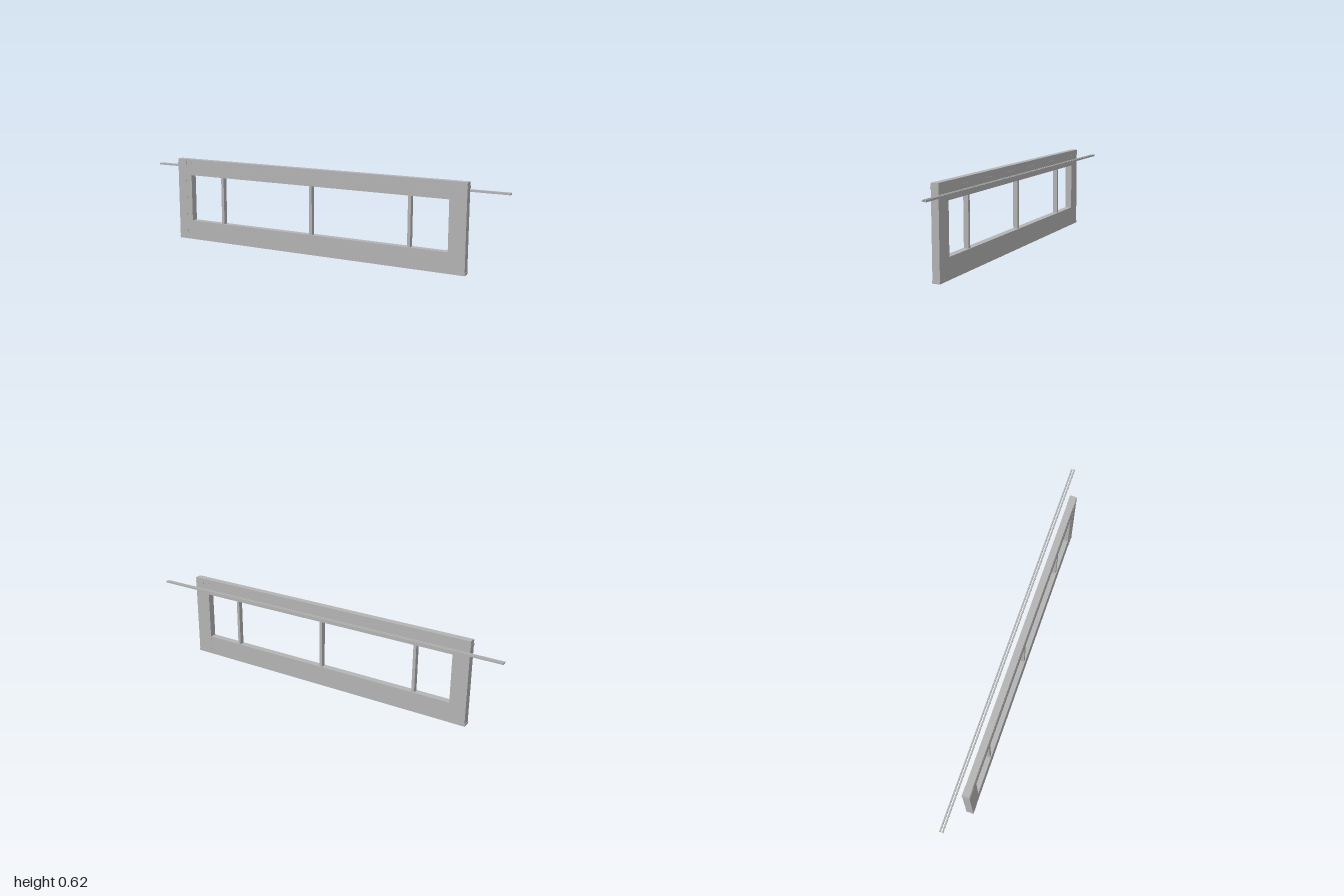
import * as THREE from 'three';

export function createModel() {
  const model = new THREE.Group();
  model.name = 'windowWall';
  const grey = new THREE.MeshStandardMaterial({ color: 0xb4b4b4 });
  grey.name = 'plain grey';

  // Everything is laid out straight along x, then turned to run diagonally.
  const straight = new THREE.Group();
  straight.name = 'diagonalAssembly';
  straight.rotation.y = -Math.PI / 4;
  model.add(straight);

  // Box given by its lower and upper limits on each axis
  function slab(name, [x0, x1], [y0, y1], [z0, z1]) {
    const mesh = new THREE.Mesh(new THREE.BoxGeometry(x1 - x0, y1 - y0, z1 - z0), grey);
    mesh.position.set((x0 + x1) / 2, (y0 + y1) / 2, (z0 + z1) / 2);
    mesh.name = name;
    straight.add(mesh);
  }

  // Lower panel, header and top cap
  slab('lowerPanel', [-1.03, 1.03], [0, 0.145], [0.052, 0.102]);
  slab('header', [-1.03, 1.03], [0.495, 0.575], [0.052, 0.102]);
  slab('topCap', [-1.148, 1.148], [0.575, 0.615], [0.053, 0.101]);

  // End posts: outer and inner studs with slim collars at foot and head
  for (const side of [-1, 1]) {
    const span = (a, b) => (side < 0 ? [-b, -a] : [a, b]);
    slab('outerStud', span(1.075, 1.148), [0, 0.61], [0.051, 0.103]);
    slab('innerStud', span(1.028, 1.075), [0, 0.59], [0.051, 0.102]);
    slab('footCollar', span(1.073, 1.151), [0.005, 0.02], [0.05, 0.105]);
    slab('headCollar', span(1.073, 1.151), [0.573, 0.588], [0.05, 0.105]);
  }

  // Slim mullions in the opening
  for (const x of [-0.75, 0, 0.75]) {
    slab('mullion', [x - 0.011, x + 0.011], [0.145, 0.495], [0.06, 0.095]);
  }

  // Pair of long rails behind the wall
  for (const z of [-0.009, 0.009]) {
    slab('rail', [-1.4, 1.4], [0.54, 0.553], [z - 0.005, z + 0.005]);
  }

  return model;
}
